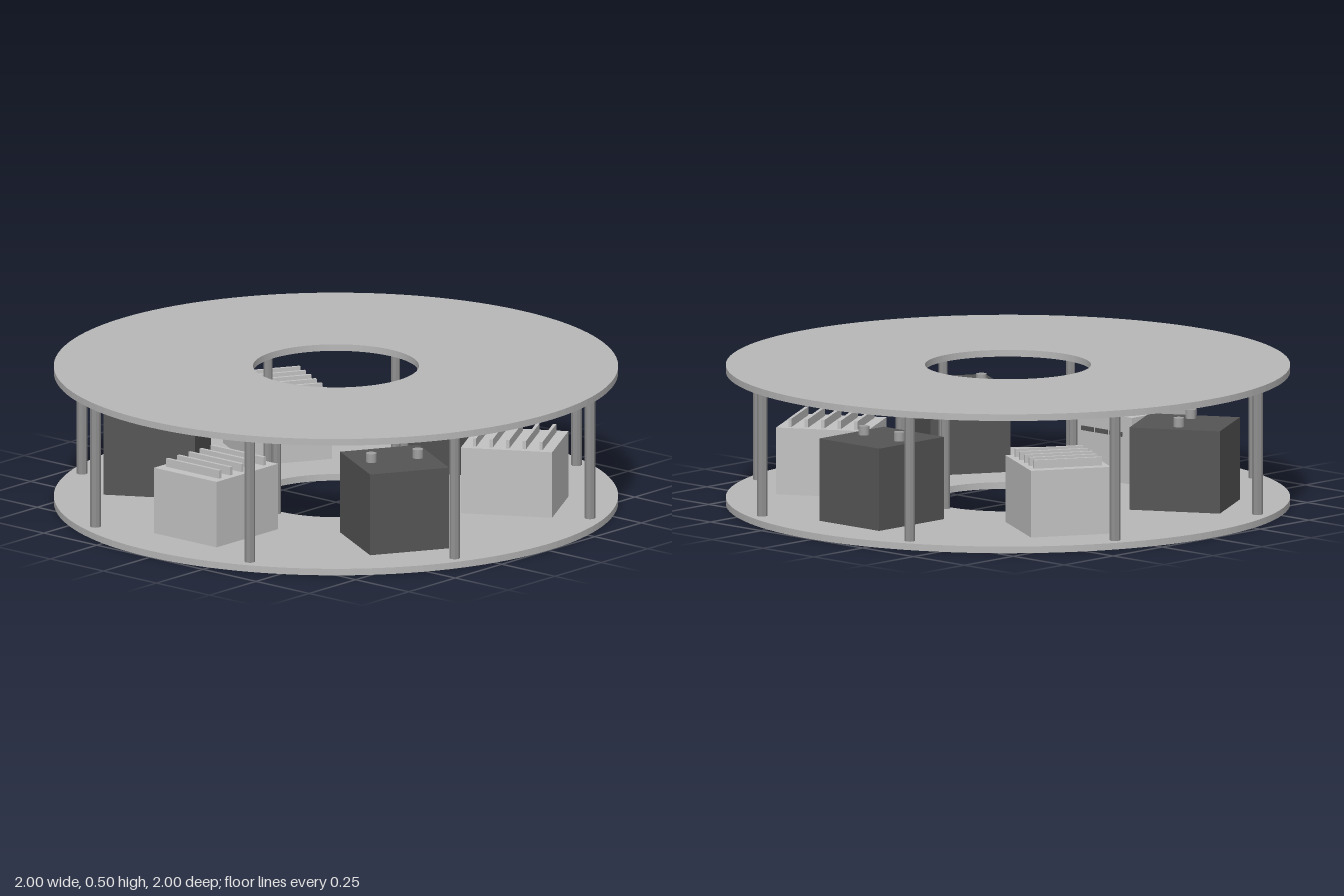
import * as THREE from 'three';

const mat = (name, color, flatShading = false) => {
  const m = new THREE.MeshStandardMaterial({ color, flatShading });
  m.name = name;
  return m;
};

// flat ring lying on y = 0, with the given height
function ringGeometry(outer, inner, height) {
  const shape = new THREE.Shape().absarc(0, 0, outer, 0, Math.PI * 2, false);
  shape.holes.push(new THREE.Path().absarc(0, 0, inner, 0, Math.PI * 2, true));
  return new THREE.ExtrudeGeometry(shape, { depth: height, bevelEnabled: false, curveSegments: 64 })
    .rotateX(-Math.PI / 2);
}

export function createModel() {
  const model = new THREE.Group();
  const plateGrey = mat('plateGrey', 0xb8b8b8);
  const postGrey = mat('postGrey', 0x909090, true);
  const lightGrey = mat('lightGrey', 0xc2c2c2);
  const darkGrey = mat('darkGrey', 0x555555);
  const terminalGrey = mat('terminalGrey', 0xa0a0a0);
  const gold = mat('gold', 0xd0b050);

  const add = (parent, name, geometry, material, x, y, z) => {
    const mesh = new THREE.Mesh(geometry, material);
    mesh.name = name;
    mesh.position.set(x, y, z);
    parent.add(mesh);
    return mesh;
  };

  // two round decks and the ring hung under the upper one
  const deckHeight = 0.024, top = 0.5;
  const deck = ringGeometry(1, 0.294, deckHeight);
  add(model, 'lowerDeck', deck, plateGrey, 0, 0, 0);
  add(model, 'upperDeck', deck, plateGrey, 0, top - deckHeight, 0);
  add(model, 'goldRing', ringGeometry(0.66, 0.625, 0.032), gold, 0, 0.446, 0);

  // circles of posts between the decks
  const posts = (name, count, radius, start, thickness) => {
    const geometry = new THREE.CylinderGeometry(thickness, thickness, top - 2 * deckHeight, 8);
    for (let i = 0; i < count; i++) {
      const a = start + (i / count) * Math.PI * 2;
      add(model, name, geometry, postGrey, radius * Math.cos(a), top / 2, radius * Math.sin(a));
    }
  };
  posts('outerPost', 8, 0.95, Math.PI / 8, 0.019);
  posts('innerPost', 4, 0.32, 0, 0.016);

  // six modules in a circle, dark and light in turn; local x points outward
  const batteryBox = new THREE.BoxGeometry(0.33, 0.296, 0.295);
  const terminal = new THREE.CylinderGeometry(0.019, 0.019, 0.032, 16);
  const coolerBox = new THREE.BoxGeometry(0.33, 0.24, 0.295);
  const fin = new THREE.BoxGeometry(0.012, 0.03, 0.25);
  const slot = new THREE.BoxGeometry(0.008, 0.016, 0.06);
  for (let i = 0; i < 6; i++) {
    const a = (i * Math.PI) / 3;
    const unit = new THREE.Group();
    unit.position.set(0.645 * Math.cos(a), deckHeight, 0.645 * Math.sin(a));
    unit.rotation.y = -a;
    model.add(unit);
    if (i % 2 === 0) {
      unit.name = 'battery';
      add(unit, 'batteryBox', batteryBox, darkGrey, 0, 0.148, 0);
      for (const s of [-1, 1]) add(unit, 'terminal', terminal, terminalGrey, 0, 0.312, s * 0.087);
    } else {
      unit.name = 'cooler';
      add(unit, 'coolerBox', coolerBox, lightGrey, 0, 0.12, 0);
      for (let k = -2; k <= 2; k++) add(unit, 'fin', fin, lightGrey, k * 0.06, 0.255, 0);
      // slots on the inward face
      for (let k = -1; k <= 1; k++) add(unit, 'slot', slot, darkGrey, -0.166, 0.175, k * 0.07);
    }
  }
  return model;
}
